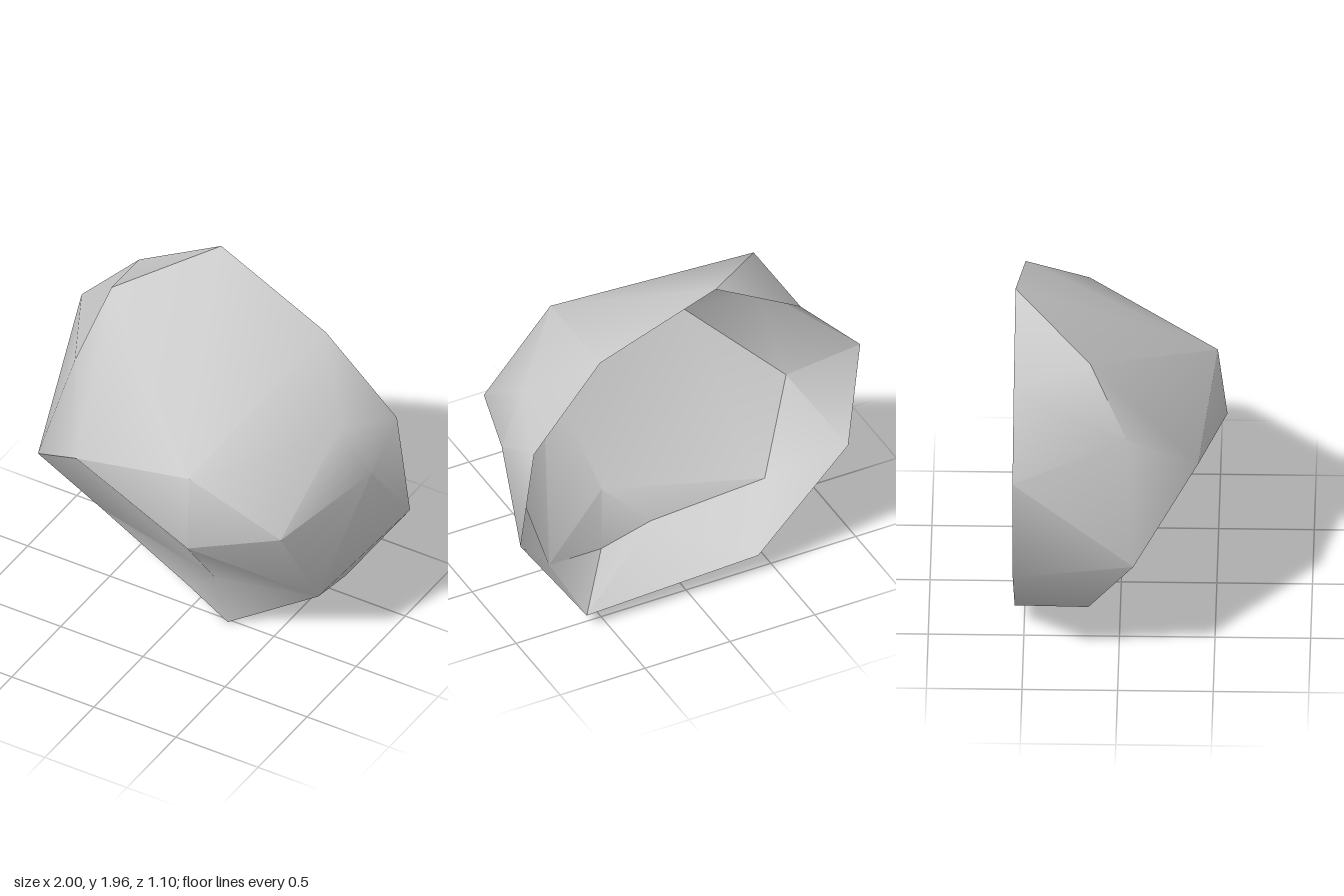
import * as THREE from 'three';
import { toCreasedNormals } from 'three/addons/utils/BufferGeometryUtils.js';

// Open back edge, clockwise from the top as seen from the front
const rim = [
  [-0.15, 1.96, -0.55], [0.51, 1.68, -0.51], [0.92, 1.25, -0.55], [1, 0.67, -0.55], [0.61, 0.08, -0.55],
  [-0.4, 0.12, -0.55], [-0.93, 0.66, -0.55], [-1, 1.3, -0.55], [-0.65, 1.67, -0.55],
];
// Belt of corners around the widest part
const belt = [
  [-0.58, 1.78, -0.15], [0.28, 1.29, 0.5], [0.8, 1.38, -0.18], [0.95, 1.1, -0.24], [0.65, 0.19, -0.2],
  [0.23, 0, 0.02], [-0.04, 0.115, -0.02], [-0.64, 0.28, -0.16], [-0.89, 0.71, 0.08], [-0.69, 1.38, 0.04],
];
// Corner where the right-hand facets meet
const shoulder = [0.75, 0.97, 0.35];
// Corners of the foremost facet
const face = [[-0.46, 1.07, 0.41], [0.3, 0.87, 0.55], [0.19, 0.33, 0.09]];

// Joins two closed rings; each step advances the outer (o) or inner (i) ring
function stitch(outer, inner, steps) {
  const triangles = [];
  let o = 0, i = 0;
  for (const step of steps) {
    const a = outer[o % outer.length], b = inner[i % inner.length];
    const next = step === 'o' ? outer[++o % outer.length] : inner[++i % inner.length];
    triangles.push(a, b, next);
  }
  return triangles;
}

export function createModel() {
  const group = new THREE.Group();
  group.name = 'halfRock';

  const corners = stitch(rim, belt, 'ioioioioiioioioioio');
  // Right-hand facets fan out from the shoulder
  for (let k = 1; k < 4; k++) corners.push(belt[k], shoulder, belt[k + 1]);
  // Front facets and the cap that closes them
  const frontRing = [belt[0], belt[1], shoulder, ...belt.slice(4)];
  corners.push(...stitch(frontRing, face, 'oiooioooiooo'), face[0], face[2], face[1]);

  const geometry = new THREE.BufferGeometry();
  geometry.setAttribute('position', new THREE.Float32BufferAttribute(corners.flat(), 3));
  const material = new THREE.MeshStandardMaterial({ color: 0xcccccc, side: THREE.DoubleSide });
  const shell = new THREE.Mesh(toCreasedNormals(geometry, Math.PI / 4), material);
  shell.name = 'rockShell';
  group.add(shell);
  return group;
}
